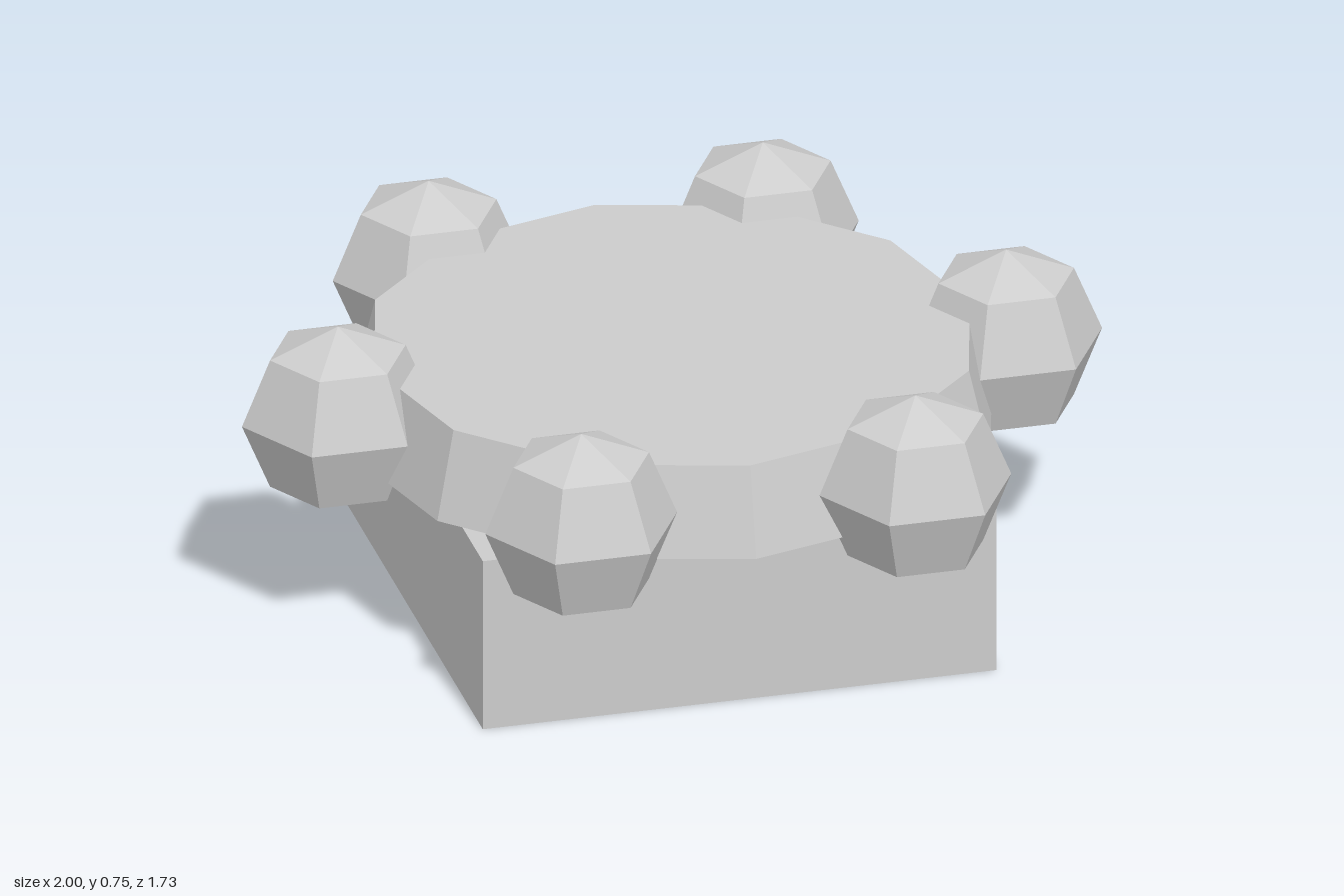
import * as THREE from 'three';

export function createModel() {
  const model = new THREE.Group();
  model.name = 'pedestal';
  const stone = new THREE.MeshStandardMaterial({ color: 0xcccccc, flatShading: true });
  stone.name = 'light grey stone';

  const add = (name, geometry, x, y, z) => {
    const mesh = new THREE.Mesh(geometry, stone);
    mesh.name = name;
    mesh.position.set(x, y, z);
    model.add(mesh);
  };

  // Square base
  add('base', new THREE.BoxGeometry(1.195, 0.42, 1.195), 0, 0.21, 0);

  // Twelve-sided tapered disc
  add('disc', new THREE.CylinderGeometry(0.692, 0.743, 0.21, 12), 0, 0.525, 0);

  // Ring of six low-poly balls, all facing the same way
  const ball = new THREE.SphereGeometry(0.223, 6, 4);
  const ringRadius = 0.777;
  for (let i = 0; i < 6; i++) {
    const a = (i * Math.PI) / 3;
    add(`ball${i + 1}`, ball, ringRadius * Math.cos(a), 0.525, ringRadius * Math.sin(a));
  }
  return model;
}
